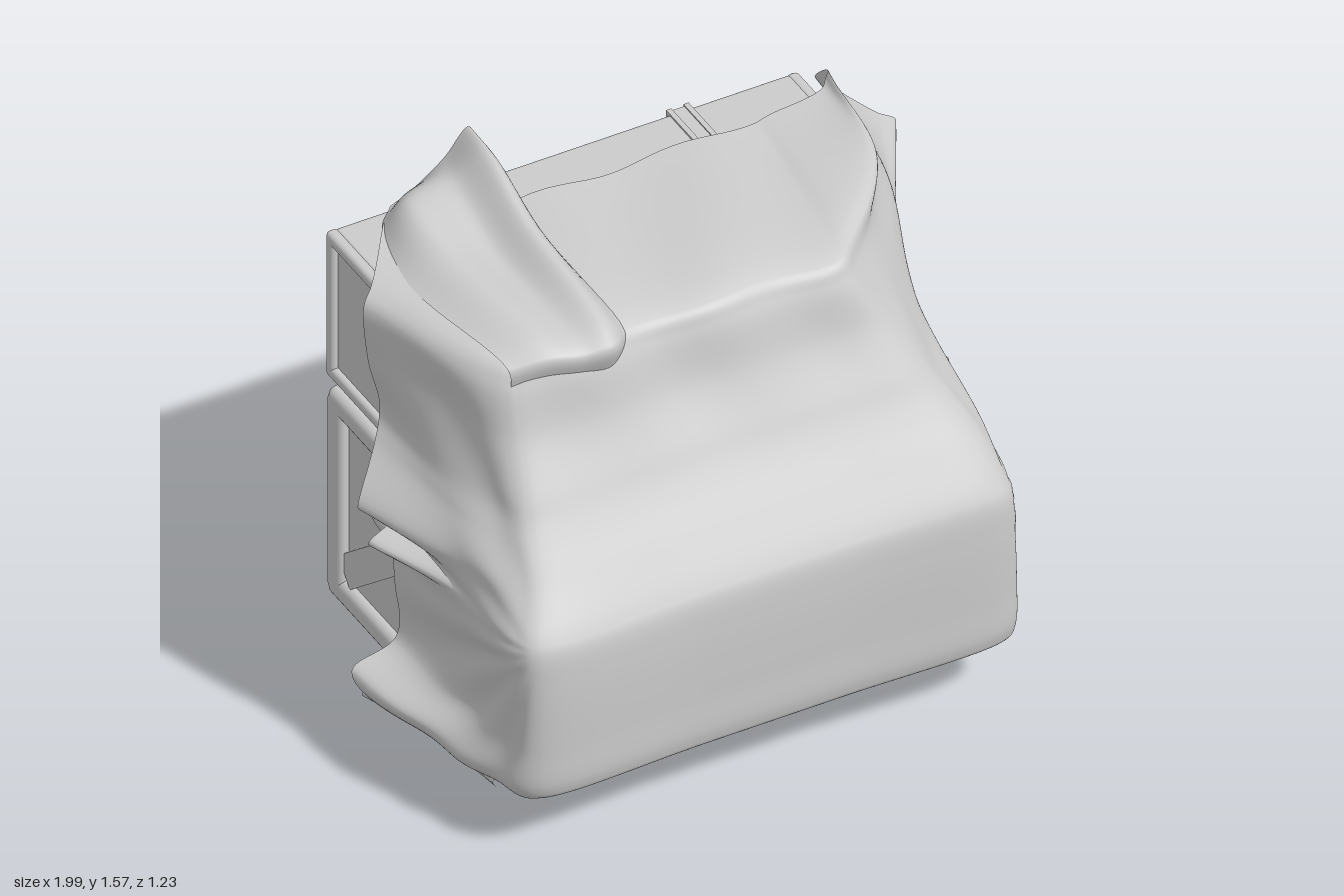
import * as THREE from 'three';
import { RoundedBoxGeometry } from 'three/addons/geometries/RoundedBoxGeometry.js';

const grey = new THREE.MeshStandardMaterial({ color: 0xcccccc });
const cloth = new THREE.MeshStandardMaterial({ color: 0xcccccc, side: THREE.DoubleSide });
const V = (x, y, z) => new THREE.Vector3(x, y, z);

// Box between two corners, with an optional edge radius
function box(name, x0, x1, y0, y1, z0, z1, r = 0) {
  const s = [x1 - x0, y1 - y0, z1 - z0];
  const geo = r ? new RoundedBoxGeometry(...s, 3, r) : new THREE.BoxGeometry(...s);
  const mesh = new THREE.Mesh(geo, grey);
  mesh.name = name;
  mesh.position.set((x0 + x1) / 2, (y0 + y1) / 2, (z0 + z1) / 2);
  return mesh;
}

// Flat board between two points lying on one face of the crate
function board(name, a, b, normal, width, thick) {
  const along = b.clone().sub(a);
  const mesh = new THREE.Mesh(new THREE.BoxGeometry(along.length(), width, thick), grey);
  const dir = along.clone().normalize();
  mesh.quaternion.setFromRotationMatrix(
    new THREE.Matrix4().makeBasis(dir, normal.clone().cross(dir), normal));
  mesh.position.copy(a).add(b).multiplyScalar(0.5);
  mesh.name = name;
  return mesh;
}

// Smooth sheet through rows of points
function sheet(name, rows, nu, nv, ripple) {
  const across = rows.map(r => {
    const c = new THREE.CatmullRomCurve3(r);
    return Array.from({ length: nu + 1 }, (_, i) => c.getPoint(i / nu));
  });
  const pos = [], idx = [];
  const cols = across[0].map((_, i) => new THREE.CatmullRomCurve3(across.map(r => r[i])));
  for (let j = 0; j <= nv; j++) {
    for (let i = 0; i <= nu; i++) {
      const p = cols[i].getPoint(j / nv);
      if (ripple) ripple(p, i / nu);
      pos.push(p.x, p.y, p.z);
      if (i < nu && j < nv) {
        const a = j * (nu + 1) + i, b = a + nu + 1;
        idx.push(a, b, a + 1, a + 1, b, b + 1);
      }
    }
  }
  const geo = new THREE.BufferGeometry();
  geo.setAttribute('position', new THREE.Float32BufferAttribute(pos, 3));
  geo.setIndex(idx);
  geo.computeVertexNormals();
  const mesh = new THREE.Mesh(geo, cloth);
  mesh.name = name;
  return mesh;
}

// Braced crate with rails on all edges and one diagonal per panel
function lowerCrate() {
  const g = new THREE.Group();
  g.name = 'lowerCrate';
  const X = [-0.79, 0.69], Y = [0.13, 0.84], Z = [-0.6, 0.13], t = 0.08, d = 0.03;
  g.add(box('cratePanels', X[0] + d, X[1] - d, Y[0] + d, Y[1] - d, Z[0] + d, Z[1] - d));
  const span = (r, k) => k ? [r[1] - t, r[1]] : [r[0], r[0] + t];
  for (const i of [0, 1]) {
    for (const k of [0, 1]) {
      g.add(box('lengthRail', ...X, ...span(Y, i), ...span(Z, k), 0.028));
      g.add(box('depthRail', ...span(X, i), ...span(Y, k), ...Z, 0.028));
      g.add(box('cornerPost', ...span(X, i), Y[0] + 0.02, Y[1] - 0.02, ...span(Z, k), 0.02));
    }
  }
  const lo = Y[0] + t, hi = Y[1] - t, bk = Z[0] + t, fr = Z[1] - t;
  g.add(board('leftBrace', V(X[1] - d, lo + 0.03, fr), V(X[1] - d, hi - 0.03, bk), V(1, 0, 0), 0.1, 0.03));
  g.add(board('rightBrace', V(X[0] + d, lo + 0.03, bk), V(X[0] + d, hi - 0.03, fr), V(-1, 0, 0), 0.1, 0.03));
  g.add(board('backBrace', V(X[1] - t, lo + 0.05, Z[0] + d), V(X[0] + t, hi - 0.05, Z[0] + d), V(0, 0, -1), 0.1, 0.03));
  g.add(board('bottomBrace', V(X[1] - t, Y[0] + d, bk + 0.04), V(X[0] + t, Y[0] + d, fr - 0.04), V(0, -1, 0), 0.1, 0.03));
  return g;
}

// Long strapped case with framed ends
function upperCase() {
  const g = new THREE.Group();
  g.name = 'upperCase';
  const x0 = -0.79, x1 = 0.685, y0 = 0.875, y1 = 1.37, z0 = -0.602, z1 = -0.17, f = 0.04;
  g.add(box('caseBody', x0 + 0.02, x1 - 0.02, y0, y1, z0, z1, 0.02));
  for (const [a, b] of [[x0, x0 + 0.04], [x1 - 0.04, x1]]) {
    g.add(box('endRailTop', a, b, y1 - f, y1, z0, z1, 0.015));
    g.add(box('endRailBottom', a, b, y0, y0 + f, z0, z1, 0.015));
    g.add(box('endPostBack', a, b, y0, y1, z0, z0 + f, 0.015));
    g.add(box('endPostFront', a, b, y0, y1, z1 - f, z1, 0.015));
  }
  for (const x of [0.315, -0.445]) {
    g.add(box('strap', x - 0.035, x + 0.035, y0 - 0.002, y1 + 0.002, z0 - 0.004, z1 + 0.004));
    for (const s of [-1, 1]) {
      const c = x + s * 0.027;
      g.add(box('strapRidge', c - 0.008, c + 0.008, y0 - 0.006, y1 + 0.006, z0 - 0.008, z1 + 0.008));
    }
  }
  return g;
}

// Each level: y front, y left back, y right back, z front,
// x and z of the left front/back ends, then of the right front/back ends
const LEVELS = [
  [.09, .075, .09, .14, .64, .64, .13, -.76, -.76, .13],
  [.20, .10, .12, .58, .70, .74, .12, -.80, -.85, .06],
  [.24, .25, .28, .60, .71, .76, .13, -.82, -1.0, -.08],
  [.38, .38, .34, .605, .715, .74, .09, -.825, -.86, -.09],
  [.60, .60, .60, .605, .715, .74, .05, -.825, -.85, -.12],
  [.70, .65, .70, .595, .715, .77, -.10, -.825, -.88, -.18],
  [.74, .70, .74, .575, .71, .74, -.38, -.82, -.85, -.20],
  [.85, .86, .82, .495, .68, .80, -.59, -.755, -.96, -.10],
  [.94, 1.01, .95, .425, .625, .93, -.60, -.735, -.87, -.19],
  [.99, 1.08, 1.0, .39, .59, 1.0, -.60, -.72, -.84, -.22],
  [1.04, 1.13, 1.06, .36, .56, .94, -.60, -.71, -.83, -.23],
  [1.18, 1.25, 1.2, .28, .48, .81, -.60, -.68, -.85, -.24],
  [1.33, 1.34, 1.37, .235, .40, .72, -.58, -.665, -.87, -.25],
  [1.385, 1.48, 1.41, .20, .39, .69, -.43, -.64, -.83, -.28],
  [1.43, 1.46, 1.44, -.39, .45, .68, -.43, -.38, -.68, -.47],
];

function tarpaulin() {
  const mix = THREE.MathUtils.lerp;
  const rows = LEVELS.map(([yF, yL, yR, zF, xLF, xLB, zLB, xRF, xRB, zRB]) => {
    const left = Math.min(mix(xLF, xLB, 0.9), 0.735), right = mix(xRF, xRB, 0.6);
    return [
      V(xLB, yL, zLB),
      V(left, (yL + yF) / 2, (zLB + zF) / 2),
      V(mix(left, xLF, 0.85), mix(yL, yF, 0.92), mix(zLB, zF, 0.92)),
      ...[0.03, 0.35, 0.65, 0.97].map(t => V(mix(xLF, xRF, t), yF, zF)),
      V(mix(right, xRF, 0.85), mix(yR, yF, 0.92), mix(zRB, zF, 0.92)),
      V(right, (yR + yF) / 2, (zRB + zF) / 2),
      V(xRB, yR, zRB),
    ];
  });
  // Pleats fan out from the front corners; the top and front sag lightly
  return sheet('tarpaulin', rows, 144, 140, (p, u) => {
    const side = Math.min(1, Math.max(0, Math.abs(u - 0.5) - 0.19) * 8);
    const dy = p.y - 0.72, dz = 0.62 - p.z;
    const fan = Math.sin(16 * Math.atan2(dy, dz)) * Math.min(1, Math.hypot(dy, dz) / 0.4);
    p.x += Math.sign(p.x) * 0.008 * fan * side;
    const up = THREE.MathUtils.smoothstep(p.y, 0.9, 1.4) * (1 - side);
    p.z += 0.01 * up * Math.sin(15 * p.x + 6 * p.y);
    p.y += 0.006 * up * Math.sin(13 * p.x + 5 * p.z);
  });
}

// Long crease of doubled cloth running back along one side
function sideFold(s, x, y) {
  return sheet('sideFold', [
    [V(s * x, y + .02, .45), V(s * (x + .01), y, .45), V(s * x, y - .02, .45)],
    [V(s * x, y + .03, .2), V(s * (x + .035), y, .2), V(s * (x + .01), y - .05, .2)],
    [V(s * x, y + .04, -.1), V(s * (x + .13), y, -.07), V(s * (x + .03), y - .08, -.11)],
  ], 14, 18);
}

export function createModel() {
  const model = new THREE.Group();
  model.name = 'coveredCrates';
  model.add(lowerCrate(), upperCase());

  // Cargo filling out the cloth
  model.add(box('frontCargo', -0.72, 0.62, 0.24, 0.7, 0.15, 0.5));
  model.add(box('topCargo', -0.62, 0.34, 0.86, 1.3, -0.15, 0.14));
  model.add(tarpaulin());

  // Double-ridged fold over the top, open toward the back
  model.add(sheet('topFold', [
    [V(-.66, 1.31, .21), V(-.56, 1.30, .22), V(-.46, 1.29, .235), V(-.37, 1.29, .24), V(-.30, 1.31, .21)],
    [V(-.67, 1.39, .21), V(-.56, 1.41, .24), V(-.46, 1.40, .26), V(-.37, 1.41, .27), V(-.30, 1.38, .2)],
    [V(-.74, 1.42, -.2), V(-.62, 1.48, -.2), V(-.48, 1.45, -.2), V(-.38, 1.52, -.2), V(-.31, 1.42, -.2)],
    [V(-.69, 1.43, -.46), V(-.62, 1.51, -.45), V(-.46, 1.50, -.47), V(-.36, 1.575, -.44), V(-.31, 1.44, -.4)],
    [V(-.62, 1.43, -.54), V(-.52, 1.42, -.59), V(-.42, 1.48, -.6), V(-.34, 1.56, -.6), V(-.34, 1.50, -.55)],
  ], 36, 32));

  // Loose lower corner trailing backward
  model.add(sheet('lowerFlap', [
    [V(.42, .11, .2), V(.45, .095, .02), V(.49, .06, -.08)],
    [V(.66, .10, .18), V(.65, .045, -.05), V(.62, .005, -.23)],
    [V(.775, .17, .18), V(.74, .17, -.1), V(.70, .12, -.3)],
    [V(.75, .26, .15), V(.80, .30, -.1), V(.74, .22, -.36)],
  ], 20, 24));

  model.add(sideFold(1, 0.73, 0.67), sideFold(-1, 0.82, 0.71), sideFold(-1, 0.84, 0.2));
  return model;
}
